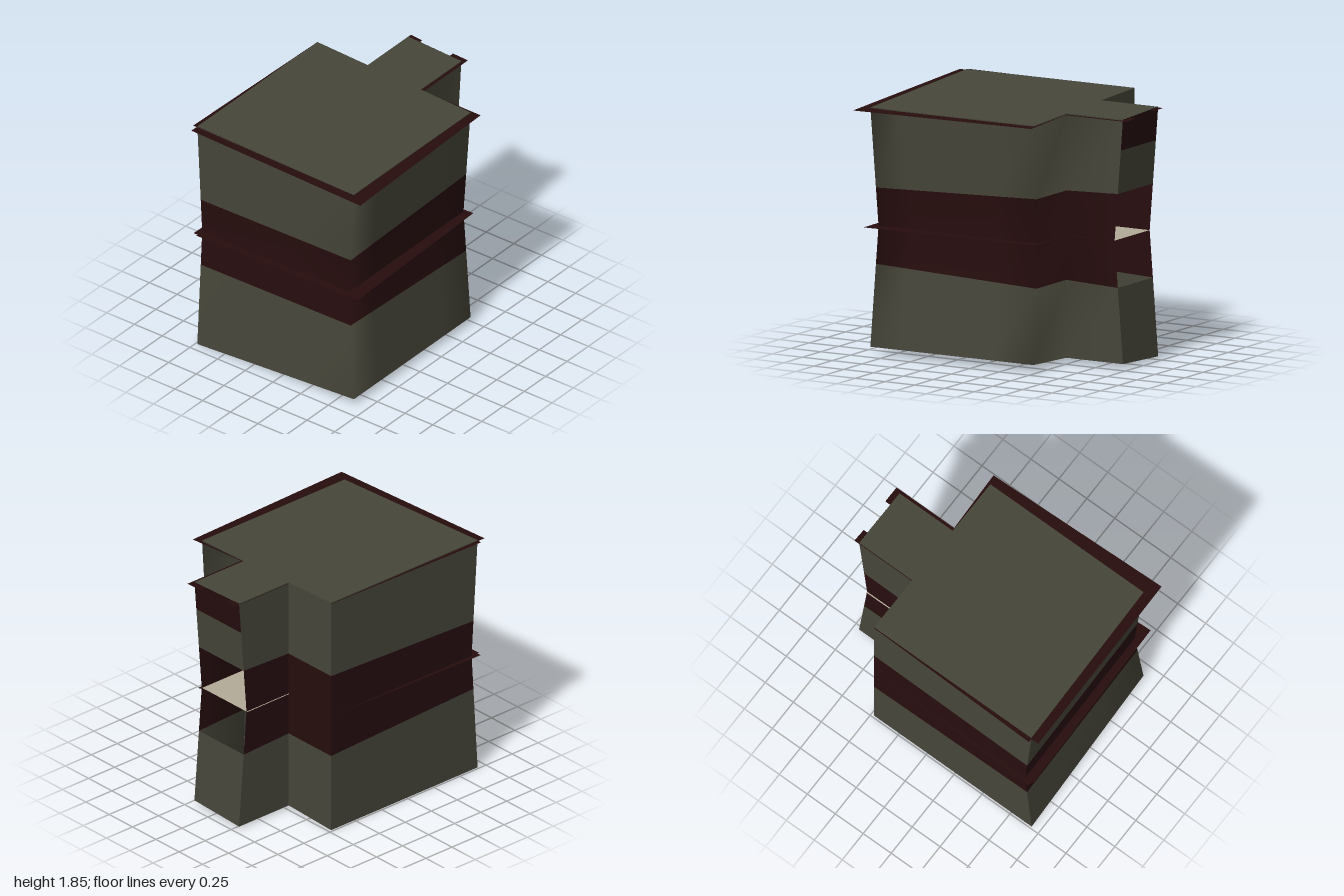
import * as THREE from 'three';

const material = (name, color) => {
  const m = new THREE.MeshStandardMaterial({ color, side: THREE.DoubleSide });
  m.name = name;
  return m;
};

// heights of the sloping roof, floor and band edges
const WAIST = 0.93;
const roofY = (x) => 1.824 - 0.04 * x;
const floorY = (x) => 0.03 + 0.04 * x;
const bandTop = (x, z) => 1.24 - 0.0335 * z;
const bandLow = (x, z) => 0.6225 + 0.036 * z;
const panelLow = () => 1.59;
const waistY = () => WAIST;

// plan corners: [x, z at the waist, x, z at roof or floor]
const frontLeft = [-0.735, 0.875, -0.735, 0.93];
const frontRight = [0.585, 0.865, 0.65, 0.895];
const backRight = [0.585, -0.475, 0.65, -0.475];
const stepRight = [0.2, -0.475, 0.2, -0.475];
const wingRight = [0.2, -0.88, 0.2, -0.95];
const wingLeft = [-0.28, -0.88, -0.28, -0.95];
const stepLeft = [-0.28, -0.475, -0.28, -0.475];
const backLeft = [-0.735, -0.475, -0.735, -0.475];

const between = (a, b, t) => a.map((v, i) => v + (b[i] - v) * t);

export function createModel() {
  const olive = material('olive', 0x46463a);
  const maroon = material('maroon', 0x270d0e);
  const beige = material('beige', 0xb4ab98);
  const model = new THREE.Group();

  const add = (name, geometry, mat) => {
    const mesh = new THREE.Mesh(geometry, mat);
    mesh.name = name;
    model.add(mesh);
  };

  // wall strip through plan points; rows are height rules, mats colour the gaps (null is open)
  const wall = (name, points, rows, mats) => {
    const pos = [], index = [], n = points.length;
    const geometry = new THREE.BufferGeometry();
    for (const row of rows) {
      for (const [wx, wz, ex, ez] of points) {
        const y = row(ex, ez);
        const t = Math.abs(y - WAIST) / 0.89;
        pos.push(wx + (ex - wx) * t, y, wz + (ez - wz) * t);
      }
    }
    const used = [olive, maroon];
    mats.forEach((mat, r) => {
      if (!mat) return;
      geometry.addGroup(index.length, (n - 1) * 6, used.indexOf(mat));
      for (let i = 0; i < n - 1; i++) {
        const a = r * n + i, b = a + 1, c = b + n, d = a + n;
        index.push(a, b, c, a, c, d);
      }
    });
    geometry.setAttribute('position', new THREE.Float32BufferAttribute(pos, 3));
    geometry.setIndex(index);
    geometry.computeVertexNormals();
    add(name, geometry, used);
  };

  // thin plate from an x,z outline, laid at a height rule
  const plate = (name, outline, height, mat) => {
    const shape = new THREE.Shape(outline.map(([x, z]) => new THREE.Vector2(x, -z)));
    const geometry = new THREE.ShapeGeometry(shape).rotateX(-Math.PI / 2);
    const p = geometry.attributes.position;
    for (let i = 0; i < p.count; i++) p.setY(i, height(p.getX(i)));
    geometry.computeVertexNormals();
    add(name, geometry, mat);
  };

  // banded walls pinched at the waist, softly shaded around the right side
  const rows = [floorY, bandLow, waistY, bandTop, roofY];
  const mats = [olive, maroon, maroon, olive];
  wall('frontAndRightWall', [
    frontLeft, between(frontLeft, frontRight, 0.65), frontRight,
    between(frontRight, backRight, 0.2), between(frontRight, backRight, 0.75), backRight,
    stepRight, wingRight,
  ], rows, mats);
  wall('wingLeftWall', [wingLeft, stepLeft], rows, mats);
  wall('backLeftWall', [stepLeft, backLeft], rows, mats);
  wall('leftWall', [backLeft, frontLeft], rows, mats);

  // rear wall of the wing, open across the band
  wall('wingBackWall', [wingRight, wingLeft],
    [floorY, bandLow, bandTop, panelLow, roofY], [olive, null, olive, maroon]);

  // roof and floor
  const plan = [frontLeft, frontRight, backRight, stepRight, wingRight, wingLeft, stepLeft, backLeft]
    .map((c) => [c[2], c[3]]);
  plate('roof', plan, roofY, olive);
  plate('floor', plan, floorY, olive);

  // eaves just below the roof
  plate('roofEaves', [
    [-0.74, -0.475], [-0.77, 0.935], [-0.74, 0.935], [-0.74, 0.995], [0.765, 0.97],
    [0.72, -0.5], [0.225, -0.48], [0.225, -0.995], [0.09, -0.995], [0.09, -0.95],
    [-0.18, -0.95], [-0.18, -0.985], [-0.285, -0.99], [-0.285, -0.475],
  ], (x) => roofY(x) - 0.007, maroon);

  // ledge around the waist, notched for the inner shelf
  plate('waistLedge', [
    [-0.735, -0.475], [-0.77, 0.93], [-0.735, 0.93], [-0.735, 0.945], [0.7, 0.92],
    [0.655, -0.5], [0.215, -0.48], [0.215, -0.9], [0.195, -0.9], [0.195, 0],
    [-0.28, 0], [-0.28, -0.475],
  ], waistY, maroon);
  plate('innerShelf', [[-0.29, -0.88], [-0.285, 0], [0.195, 0], [0.195, -0.88]], waistY, beige);

  return model;
}
